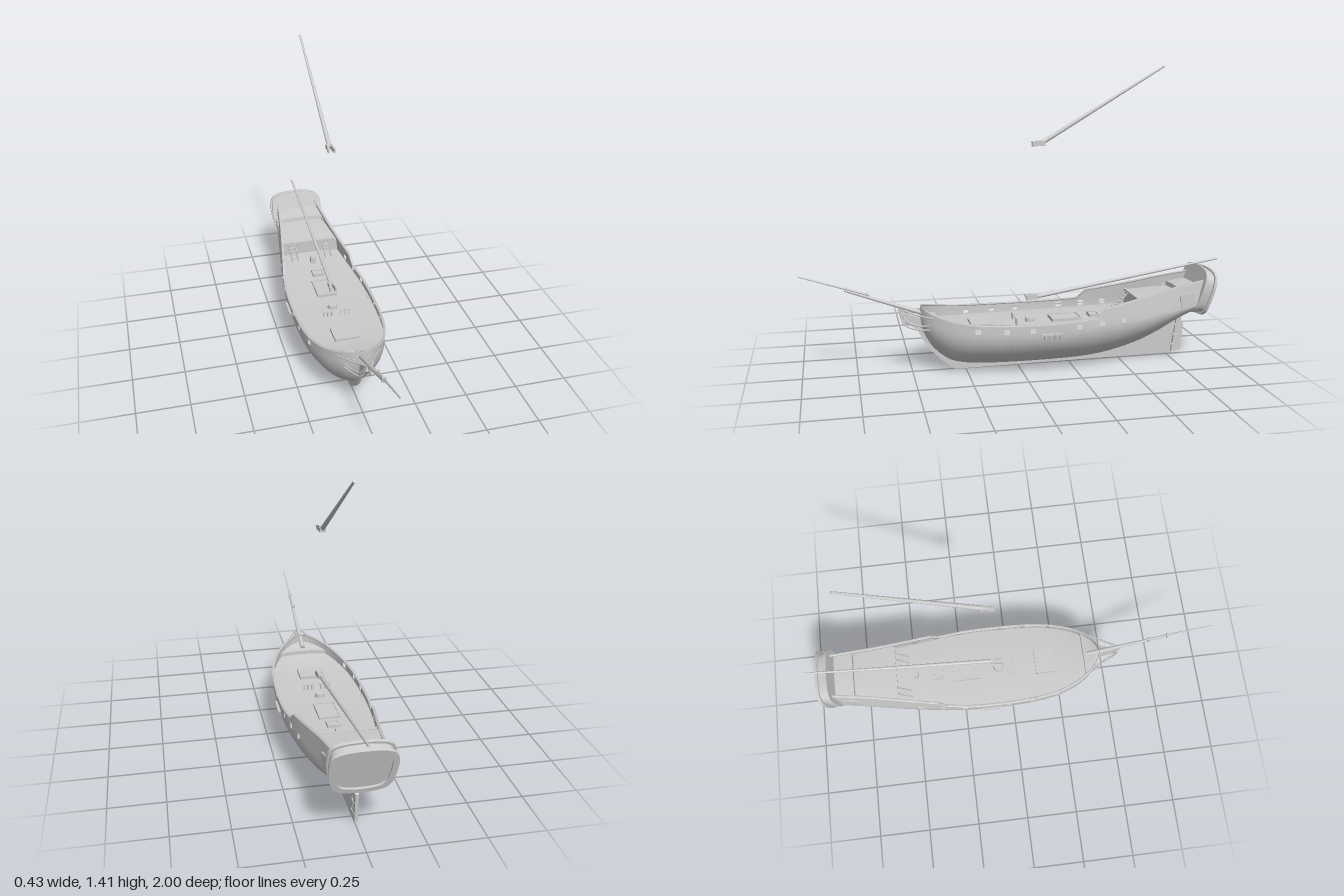
import * as THREE from 'three';

const mat = new THREE.MeshStandardMaterial({ color: 0xcccccc, side: THREE.DoubleSide });
const V = (x, y, z) => new THREE.Vector3(x, y, z);
const clamp = THREE.MathUtils.clamp;

// smooth interpolation through [z, value] pairs, z descending
function table(pts) {
  const slope = (i) => {
    const a = pts[Math.max(i - 1, 0)], b = pts[Math.min(i + 1, pts.length - 1)];
    return (b[1] - a[1]) / (b[0] - a[0]);
  };
  return (z) => {
    z = clamp(z, pts[pts.length - 1][0], pts[0][0]);
    let i = 0;
    while (i < pts.length - 2 && z < pts[i + 1][0]) i++;
    const [z0, v0] = pts[i], [z1, v1] = pts[i + 1], h = z1 - z0, t = (z - z0) / h;
    const t2 = t * t, t3 = t2 * t;
    return (2 * t3 - 3 * t2 + 1) * v0 + (t3 - 2 * t2 + t) * h * slope(i)
      + (3 * t2 - 2 * t3) * v1 + (t3 - t2) * h * slope(i + 1);
  };
}

// hull lines: beam at the wale, beam at the rail, heights of bottom, wale and rail
const beam = table([[0.46, 0.004], [0.45, 0.035], [0.43, 0.068], [0.4, 0.1], [0.35, 0.135], [0.3, 0.158],
  [0.2, 0.187], [0.05, 0.203], [-0.2, 0.204], [-0.38, 0.187], [-0.6, 0.157], [-0.85, 0.12]]);
const inset = table([[0.46, 0], [-0.2, 0], [-0.38, 0.006], [-0.6, 0.012], [-0.85, 0.014]]);
const bottom = table([[0.46, 0.25], [0.45, 0.2], [0.43, 0.155], [0.4, 0.11], [0.35, 0.065], [0.3, 0.04], [0.2, 0.026],
  [0, 0.02], [-0.3, 0.024], [-0.45, 0.04], [-0.6, 0.08], [-0.7, 0.125], [-0.78, 0.172], [-0.85, 0.215]]);
const wale = table([[0.46, 0.26], [0.4, 0.24], [0.3, 0.222], [0.2, 0.214], [0, 0.211], [-0.2, 0.214],
  [-0.36, 0.221], [-0.47, 0.227], [-0.6, 0.238], [-0.85, 0.275]]);
const railBase = table([[0.46, 0.312], [0.4, 0.288], [0.3, 0.265], [0.2, 0.254], [0, 0.248], [-0.2, 0.25],
  [-0.34, 0.26], [-0.6, 0.305], [-0.8, 0.348], [-0.85, 0.358]]);
const rail = (z) => railBase(z) + 0.033 * clamp((-0.34 - z) / 0.045, 0, 1);
const rake = (z, y) => z - clamp((-z - 0.7) / 0.15, 0, 1) * (y - 0.22) * 0.3;
const halfAt = (z, y) => beam(z) - inset(z) * clamp((y - wale(z)) / (rail(z) - wale(z)), 0, 1);

function mesh(name, geo, parent) {
  const m = new THREE.Mesh(geo, mat);
  m.name = name;
  parent.add(m);
  return m;
}

// surface from a rule: fn(i, j) gives a corner, skip(i, j) leaves an opening
function sheet(nu, nv, fn, skip = () => false) {
  const pos = [], idx = [];
  for (let i = 0; i <= nu; i++) for (let j = 0; j <= nv; j++) pos.push(...fn(i, j));
  for (let i = 0; i < nu; i++) for (let j = 0; j < nv; j++) {
    if (skip(i, j)) continue;
    const a = i * (nv + 1) + j, b = a + nv + 1;
    idx.push(a, a + 1, b, a + 1, b + 1, b);
  }
  const g = new THREE.BufferGeometry();
  g.setAttribute('position', new THREE.Float32BufferAttribute(pos, 3));
  g.setIndex(idx);
  g.computeVertexNormals();
  return g;
}

function spar(name, a, b, r0, r1, parent, sides = 12) {
  const d = b.clone().sub(a);
  const m = mesh(name, new THREE.CylinderGeometry(r1, r0, d.length(), sides), parent);
  m.position.copy(a).addScaledVector(d, 0.5);
  m.quaternion.setFromUnitVectors(V(0, 1, 0), d.normalize());
  return m;
}

function box(name, w, h, d, x, y, z, parent) {
  const m = mesh(name, new THREE.BoxGeometry(w, h, d), parent);
  m.position.set(x, y, z);
  return m;
}

// flat timber on the centre line, outlined by [z, y] points
function plate(name, pts, width, parent) {
  const s = new THREE.Shape(pts.map(([z, y]) => new THREE.Vector2(z, y)));
  const g = new THREE.ExtrudeGeometry(s, { depth: width, bevelEnabled: false });
  g.rotateY(-Math.PI / 2).translate(width / 2, 0, 0);
  return mesh(name, g, parent);
}

function deck(name, z0, z1, height, parent) {
  return mesh(name, sheet(30, 8, (i, j) => {
    const z = z0 + (z1 - z0) * i / 30, u = j / 4 - 1, y = height(z);
    return [u * halfAt(z, y) * 0.995, y + 0.006 * (1 - u * u), rake(z, y)];
  }), parent);
}

function bulkhead(name, z, y0, y1, parent) {
  mesh(name, sheet(1, 8, (i, j) => {
    const u = j / 4 - 1, y = (i ? y1 : y0) + 0.006 * (1 - u * u);
    return [u * halfAt(z, y), y, rake(z, y)];
  }), parent);
}

export function createModel() {
  const ship = new THREE.Group();
  ship.name = 'sailingShip';

  // hull sides with open gun ports
  const ports = [0.22, 0.09, -0.03, -0.25, -0.36, -0.47];
  const set = new Set([0.46, 0.457, 0.45, 0.44, 0.43, 0.415, -0.34, -0.385]);
  for (let k = 0; k <= 50; k++) set.add(0.4 - k * 0.025);
  ports.forEach((p) => { set.add(p + 0.0121); set.add(p - 0.0121); });
  const zs = [...set].sort((a, b) => b - a), low = 16;
  for (const s of [1, -1]) {
    mesh(s > 0 ? 'hullLeft' : 'hullRight', sheet(zs.length - 1, low + 2, (i, j) => {
      const z = zs[i], yw = wale(z), yr = rail(z), yb = bottom(z);
      let x, y;
      if (j <= low) {
        const a = (j / low) * Math.PI / 2;
        x = beam(z) * Math.sin(a) ** (1.3 + 0.5 * clamp((-z - 0.3) / 0.4, 0, 1));
        y = yb + (yw - yb) * (1 - Math.cos(a));
      } else {
        y = j === low + 1 ? yw + 0.023 : yr;
        x = halfAt(z, y);
      }
      return [s * x, y, rake(z, y)];
    }, (i, j) => j === low && ports.some((p) => Math.abs((zs[i] + zs[i + 1]) / 2 - p) < 0.012)), ship);

    // cap rail: a small square-section strip along the sheer
    mesh('capRail', sheet(zs.length - 1, 4, (i, j) => {
      const z = zs[i], c = [[0.003, -0.003], [0.003, 0.003], [-0.009, 0.003], [-0.009, -0.003], [0.003, -0.003]][j];
      const y = rail(z) + c[1];
      return [s * Math.max(halfAt(z, rail(z)) + c[0], 0), y, rake(z, y)];
    }), ship);
  }

  // decks and the bulkheads between them
  const mainY = (z) => wale(z) - 0.007;
  const quarterY = (z) => 0.298 + (-0.58 - z) * 0.1;
  const poopY = (z) => 0.338 + (-0.77 - z) * 0.2;
  deck('mainDeck', 0.455, -0.59, mainY, ship);
  deck('foreDeck', 0.455, 0.38, (z) => wale(z) + 0.012, ship);
  bulkhead('foreDeckStep', 0.38, mainY(0.38), wale(0.38) + 0.012, ship);
  deck('quarterDeck', -0.58, -0.78, quarterY, ship);
  bulkhead('cabinFront', -0.58, mainY(-0.58), quarterY(-0.58), ship);
  deck('poopDeck', -0.77, -0.85, poopY, ship);
  bulkhead('poopFront', -0.77, quarterY(-0.77), poopY(-0.77), ship);
  box('quarterDeckBeam', 0.285, 0.01, 0.012, 0, 0.301, -0.58, ship);

  // keel, stem and rudder
  plate('keelAndStem', [[0.3, 0], [0.36, 0.045], [0.42, 0.105], [0.452, 0.155], [0.475, 0.205], [0.51, 0.225],
    [0.555, 0.27], [0.55, 0.295], [0.5, 0.27], [0.445, 0.25], [0.4, 0.13], [0.3, 0.055], [-0.4, 0.05], [-0.6, 0.1],
    [-0.79, 0.195], [-0.768, 0.008]], 0.012, ship);
  plate('rudder', [[-0.773, 0.012], [-0.82, 0.02], [-0.833, 0.155], [-0.82, 0.165], [-0.83, 0.225], [-0.805, 0.225]], 0.014, ship);
  for (const y of [0.05, 0.1, 0.15]) box('rudderHinge', 0.02, 0.006, 0.04, 0, y, -0.782 - y * 0.1, ship);

  // raked stern frame around a recessed panel
  const stern = new THREE.Group();
  stern.name = 'stern';
  stern.position.set(0, 0.325, -0.9);
  stern.rotation.x = -0.29;
  ship.add(stern);
  const outline = (k, Type = THREE.Shape) => {
    const s = new Type(), x = 0.14 * k, h = 0.115 * k;
    s.moveTo(0, -h);
    s.bezierCurveTo(x * 0.7, -h, x * 0.85, -h * 0.85, x * 0.93, -h * 0.4);
    s.bezierCurveTo(x, 0, x * 1.03, h * 0.4, x * 0.95, h * 0.65);
    s.bezierCurveTo(x * 0.88, h * 0.9, x * 0.6, h, 0, h);
    s.bezierCurveTo(-x * 0.6, h, -x * 0.88, h * 0.9, -x * 0.95, h * 0.65);
    s.bezierCurveTo(-x * 1.03, h * 0.4, -x, 0, -x * 0.93, -h * 0.4);
    s.bezierCurveTo(-x * 0.85, -h * 0.85, -x * 0.7, -h, 0, -h);
    return s;
  };
  [['sternFrontRim', 1, 0, 0.017, 0.014], ['sternPanel', 0.92, 0, -0.02, 0.045], ['sternBackRim', 1, 0.82, -0.03, 0.014]]
    .forEach(([name, k, hole, z, depth]) => {
      const s = outline(k);
      if (hole) s.holes.push(outline(hole, THREE.Path));
      mesh(name, new THREE.ExtrudeGeometry(s, { depth, bevelEnabled: false, curveSegments: 10 }), stern).position.z = z;
    });

  // bowsprit and jib boom
  spar('bowsprit', V(0, 0.262, 0.4), V(0, 0.405, 0.8), 0.012, 0.006, ship);
  spar('jibBoom', V(0, 0.378, 0.69), V(0, 0.478, 1), 0.006, 0.003, ship);
  for (const z of [0.7, 0.79]) box('boomBand', 0.02, 0.022, 0.006, 0, 0.378 + (z - 0.7) * 0.34, z, ship);

  // parts on both sides
  for (const s of [1, -1]) {
    const rails = [
      [[0.1, 0.275, 0.41], [0.055, 0.285, 0.48], [0.006, 0.305, 0.555]],
      [[0.07, 0.215, 0.42], [0.045, 0.212, 0.47], [0.02, 0.235, 0.535], [0.005, 0.3, 0.558]],
      [[0.07, 0.235, 0.425], [0.045, 0.23, 0.47], [0.02, 0.25, 0.525], [0.005, 0.295, 0.55]],
    ];
    for (const r of rails) {
      const c = new THREE.CatmullRomCurve3(r.map(([x, y, z]) => V(s * x, y, z)));
      mesh('beakheadRail', new THREE.TubeGeometry(c, 14, 0.004, 6), ship);
    }
    box('channel', 0.02, 0.007, 0.1, s * 0.207, 0.203, -0.115, ship);
    for (let k = 0; k < 4; k++) spar('chainPlate', V(s * 0.214, 0.203, -0.08 - k * 0.024), V(s * 0.2, 0.176, -0.083 - k * 0.024), 0.002, 0.002, ship, 6);
    const gallery = box('quarterGallery', 0.014, 0.065, 0.08, s * 0.122, 0.3, -0.805, ship);
    gallery.rotation.set(0.18, s * 0.14, 0);

    // ladders to the quarterdeck
    for (const x of [0.075, 0.107]) spar('ladderSide', V(s * x, 0.225, -0.51), V(s * x, 0.3, -0.572), 0.004, 0.004, ship, 4);
    for (let k = 1; k < 5; k++) box('ladderStep', 0.032, 0.003, 0.012, s * 0.091, 0.225 + k * 0.015, -0.51 - k * 0.0124, ship);

    // belaying rails by the mast
    box('pinRail', 0.055, 0.005, 0.006, s * 0.042, 0.237, 0.015, ship);
    for (const x of [0.022, 0.042, 0.062]) box('pinRailPost', 0.005, 0.03, 0.005, s * x, 0.222, 0.015, ship);
  }

  // hatches and deck fittings
  const hatch = (w, d, z) => {
    const y = wale(z) + 0.004;
    for (const s of [1, -1]) {
      box('hatchCoaming', 0.008, 0.016, d, s * (w - 0.008) / 2, y, z, ship);
      box('hatchCoaming', w, 0.016, 0.008, 0, y, z + s * (d - 0.008) / 2, ship);
    }
    box('hatchCover', w - 0.01, 0.008, d - 0.01, 0, y, z, ship);
  };
  hatch(0.1, 0.145, -0.23);
  hatch(0.06, 0.05, -0.37);
  box('foreHatch', 0.12, 0.018, 0.1, 0, 0.217, 0.18, ship);
  mesh('mastCollar', new THREE.CylinderGeometry(0.022, 0.024, 0.02, 20), ship).position.set(0, 0.218, -0.06);
  box('binnacle', 0.026, 0.04, 0.022, 0, 0.24, -0.48, ship);

  // loose spars: main boom and gaff, each with forked jaws
  const jawed = (name, a, b, r0, r1) => {
    const g = new THREE.Group();
    g.name = name;
    ship.add(g);
    spar('pole', a, b, r0, r1, g);
    const dir = b.clone().sub(a).normalize();
    for (const s of [1, -1]) {
      box('jaw', 0.009, 0.022, 0.05, s * 0.011, a.y + 0.003, a.z + 0.012, g).rotation.set(dir.y * 0.25, s * 0.12, 0);
    }
    box('jawBlock', 0.028, 0.02, 0.022, 0, a.y + 0.002, a.z - 0.012, g);
  };
  jawed('mainBoom', V(0, 0.325, -0.075), V(0, 0.47, -1), 0.01, 0.005);
  jawed('gaff', V(0, 1.05, -0.105), V(0, 1.402, -0.7), 0.011, 0.005);
  return ship;
}
